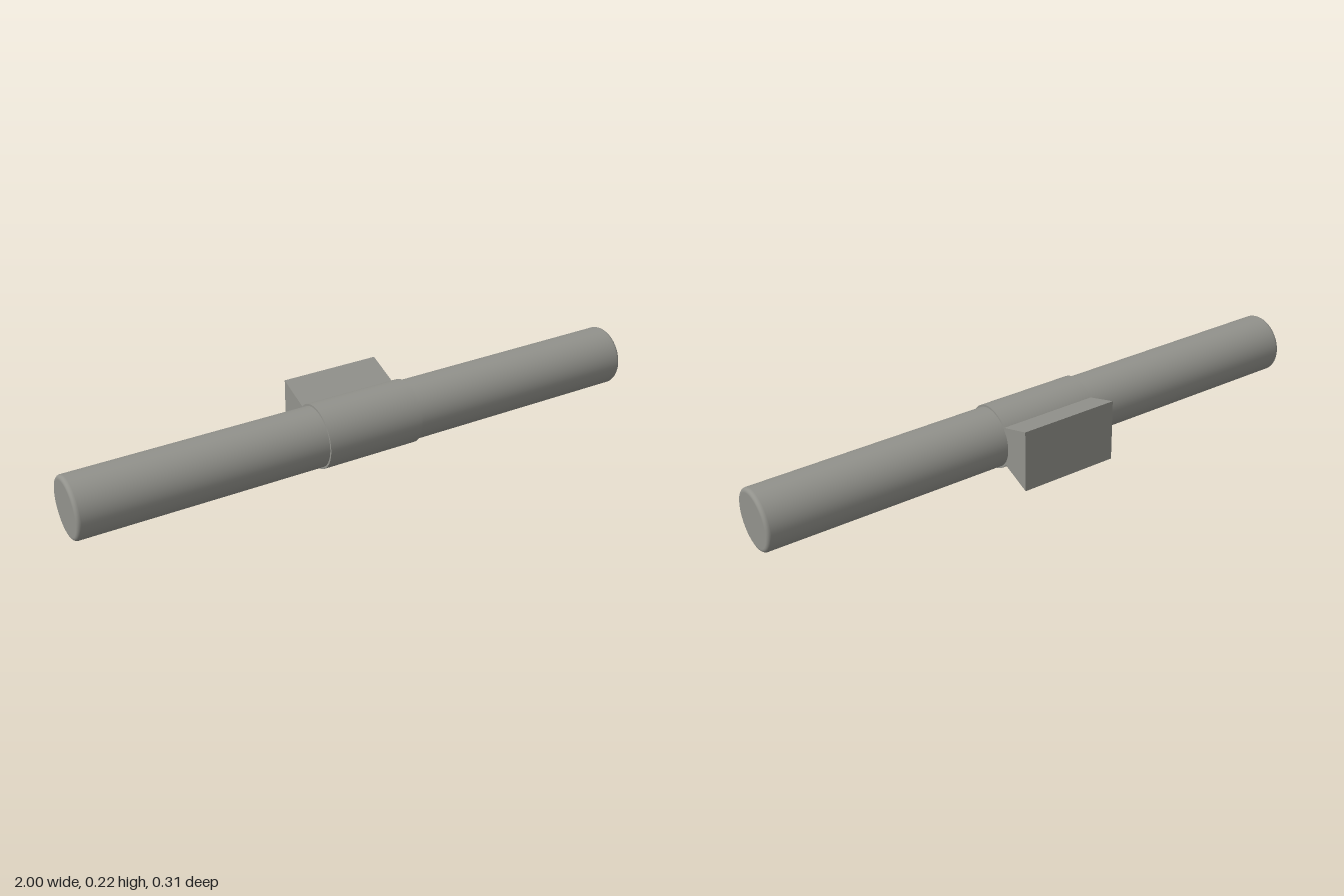
import * as THREE from 'three';

const AXIS_Y = 0.109, AXIS_Z = 0.046;

export function createModel() {
  const model = new THREE.Group();
  const grey = new THREE.MeshStandardMaterial({ color: 0x92928c });
  grey.name = 'warm grey';

  const add = (name, geometry) => {
    const mesh = new THREE.Mesh(geometry, grey);
    mesh.name = name;
    model.add(mesh);
    return mesh;
  };

  // Long bar along x with softly rounded rims
  const radius = 0.101, half = 1, fillet = 0.012, steps = 6;
  const rim = [];
  for (let i = 0; i <= steps; i++) {
    const a = (i / steps) * Math.PI / 2;
    rim.push([radius - fillet + fillet * Math.sin(a), half - fillet + fillet * Math.cos(a)]);
  }
  const flat = [[0, half], [radius - fillet - 0.001, half]];
  const upper = [...flat, ...rim, [radius, half - fillet - 0.001]];
  const profile = [
    ...upper.map(([r, y]) => new THREE.Vector2(r, -y)),
    ...upper.reverse().map(([r, y]) => new THREE.Vector2(r, y)),
  ];
  const bar = add('bar', new THREE.LatheGeometry(profile, 64).rotateZ(-Math.PI / 2));
  bar.position.set(0, AXIS_Y, AXIS_Z);

  // Sleeve around the middle of the bar
  const sleeve = add('sleeve', new THREE.CylinderGeometry(0.1075, 0.1075, 0.34, 64).rotateZ(-Math.PI / 2));
  sleeve.position.set(0, AXIS_Y, AXIS_Z);

  // Flared mounting block behind the sleeve, section drawn as (-z, y)
  const section = new THREE.Shape([
    new THREE.Vector2(0, 0.058),
    new THREE.Vector2(0.152, 0.005),
    new THREE.Vector2(0.152, 0.222),
    new THREE.Vector2(0, 0.169),
  ]);
  const block = new THREE.ExtrudeGeometry(section, { depth: 0.34, bevelEnabled: false });
  block.translate(0, 0, -0.17).rotateY(Math.PI / 2);
  add('mountingBlock', block);

  return model;
}
